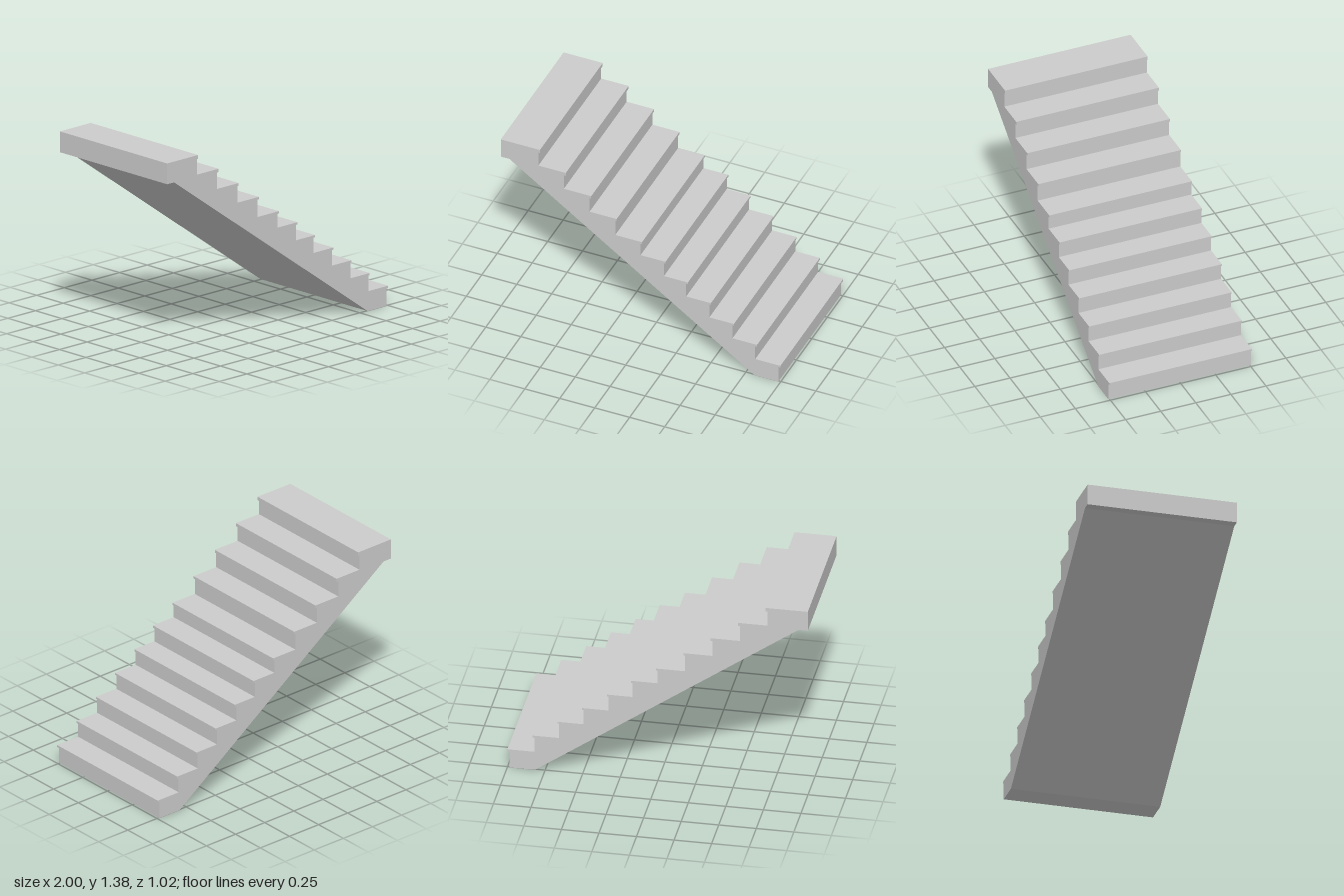
import * as THREE from 'three';

const WIDTH = 1.016;

// One row per step, bottom to top: riser x, nosing x, nosing underside y, tread y
const STEPS = [
  [0.985, 1.0, 0.12, 0.135],
  [0.82, 0.833, 0.24, 0.256],
  [0.657, 0.667, 0.364, 0.377],
  [0.492, 0.503, 0.484, 0.498],
  [0.326, 0.338, 0.602, 0.617],
  [0.167, 0.178, 0.722, 0.738],
  [0.0, 0.01, 0.832, 0.848],
  [-0.181, -0.171, 0.966, 0.983],
  [-0.365, -0.353, 1.095, 1.115],
  [-0.549, -0.535, 1.227, 1.25],
  [-0.731, -0.72, 1.357, 1.382],
];

export function createModel() {
  const group = new THREE.Group();
  group.name = 'staircase';

  // Side profile: sloping underside, then risers and overhanging nosings
  const profile = new THREE.Shape();
  profile.moveTo(-1, 1.24);
  profile.lineTo(-0.938, 1.24);
  profile.lineTo(0.815, 0);
  let treadY = 0;
  for (const [riserX, nosingX, undersideY, topY] of STEPS) {
    profile.lineTo(riserX, treadY);
    profile.lineTo(riserX, undersideY);
    profile.lineTo(nosingX, undersideY);
    profile.lineTo(nosingX, topY);
    treadY = topY;
  }
  // Upper landing
  profile.lineTo(-1, treadY);
  profile.closePath();

  const geometry = new THREE.ExtrudeGeometry(profile, { depth: WIDTH, bevelEnabled: false });
  geometry.translate(0, 0, -WIDTH / 2);

  const flight = new THREE.Mesh(
    geometry,
    new THREE.MeshStandardMaterial({ color: 0xcccccc, flatShading: true })
  );
  flight.name = 'stairFlight';
  group.add(flight);
  return group;
}
